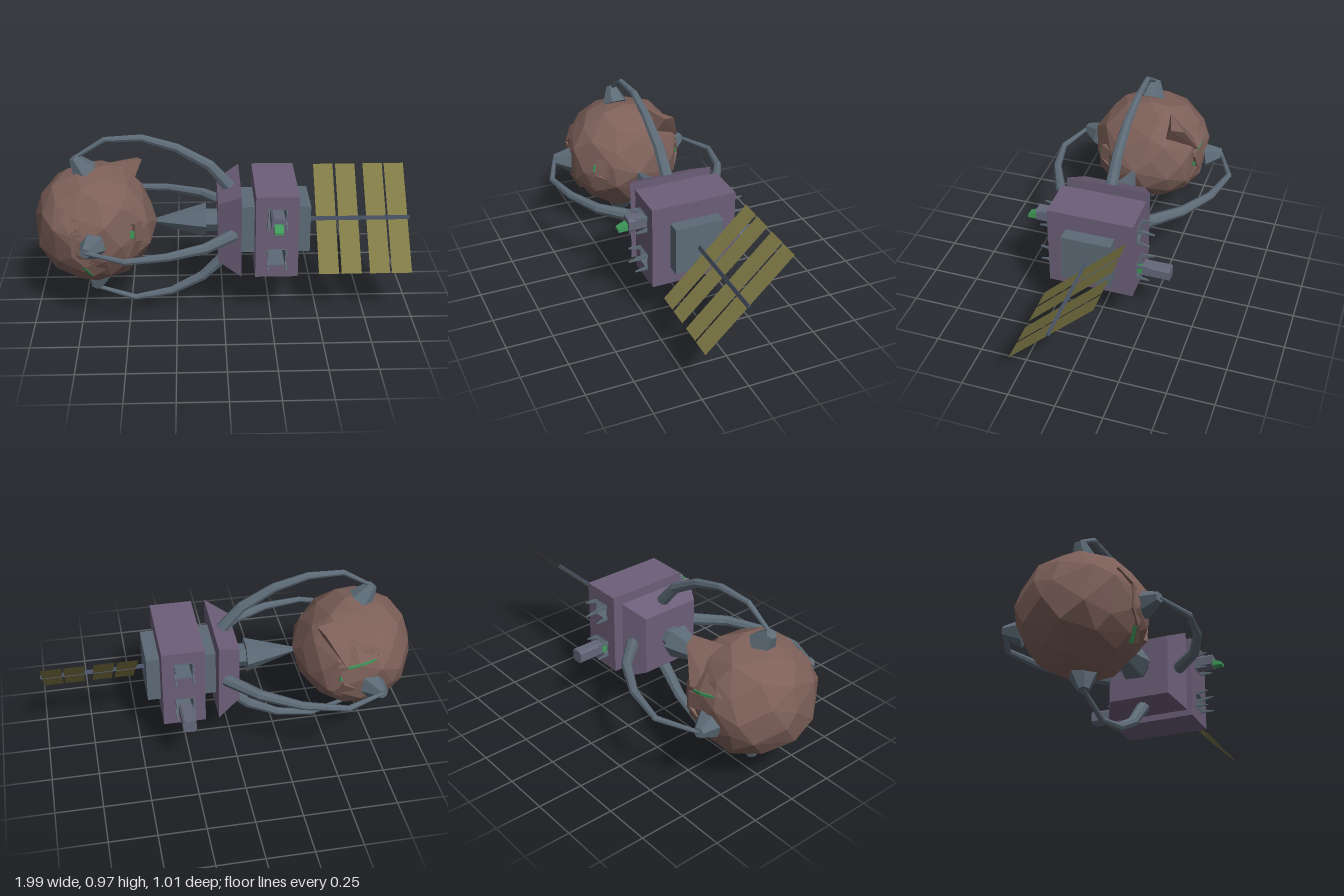
import * as THREE from 'three';
import { ConvexGeometry } from 'three/addons/geometries/ConvexGeometry.js';

const V = (x, y, z) => new THREE.Vector3(x, y, z);
const mat = (name, color, side = THREE.FrontSide) => {
  const m = new THREE.MeshStandardMaterial({ color, side, flatShading: true });
  m.name = name;
  return m;
};

export function createModel() {
  const model = new THREE.Group();
  const purple = mat('purple hull', 0x6c5e78);
  const slate = mat('slate metal', 0x5c6a76);
  const tubeGrey = mat('violet grey tube', 0x646779);
  const darkSlate = mat('dark slate boom', 0x465062);
  const brown = mat('brown rock', 0x7d6059);
  const green = mat('green ore', 0x3f9a5a, THREE.DoubleSide);
  const olive = mat('olive panel', 0x807a45, THREE.DoubleSide);
  const CY = 0.487, CZ = 0.02;

  const add = (name, geo, material, x = 0, y = 0, z = 0) => {
    const m = new THREE.Mesh(geo, material);
    m.name = name;
    m.position.set(x, y, z);
    model.add(m);
    return m;
  };
  // Prism or frustum running along x from x0 (radius r0) to x1 (radius r1)
  const alongX = (name, x0, x1, r0, r1, sides, material, turn = 0) =>
    add(name, new THREE.CylinderGeometry(r1, r0, x1 - x0, sides).rotateY(turn).rotateZ(-Math.PI / 2),
      material, (x0 + x1) / 2, CY, CZ);
  const square = (name, x0, x1, h0, h1, material) =>
    alongX(name, x0, x1, h0 * Math.SQRT2, h1 * Math.SQRT2, 4, material, Math.PI / 4);

  // Hull sections
  square('clawMount', -0.03, 0.09, 0.165, 0.226, purple);
  square('core', 0.09, 0.17, 0.13, 0.13, slate);
  square('rearBlock', 0.38, 0.455, 0.13, 0.13, slate);
  alongX('drillNeck', -0.1, -0.02, 0.06, 0.06, 6, slate);
  alongX('drillCone', -0.39, -0.09, 0.004, 0.092, 6, slate);

  // Main hull with two square tunnels from front to back
  const square2D = (path, x, y, hx, hy) =>
    path.moveTo(x - hx, y - hy).lineTo(x + hx, y - hy).lineTo(x + hx, y + hy).lineTo(x - hx, y + hy).closePath();
  const polygon = pts => new THREE.Shape(pts.map(p => new THREE.Vector2(...p)));
  const extrude = (shape, depth) => new THREE.ExtrudeGeometry(shape, { depth, bevelEnabled: false });
  const portX = 0.272, portY = [0.6, 0.374];
  const outline = square2D(new THREE.Shape(), 0.2735, CY, 0.1115, 0.227);
  for (const y of portY) {
    outline.holes.push(square2D(new THREE.Path(), portX, y, 0.047, 0.047));
    const liner = square2D(new THREE.Shape(), portX, y, 0.047, 0.047);
    liner.holes.push(square2D(new THREE.Path(), portX, y, 0.043, 0.043));
    add('portLiner', extrude(liner, 0.46), slate, 0, 0, CZ - 0.23);
  }
  add('hull', extrude(outline, 0.454), purple, 0, 0, CZ - 0.227);

  // Pointed guides at the corners of each tunnel mouth
  for (const y of portY) for (const sx of [-1, 1]) for (const sy of [-1, 1]) for (const sz of [-1, 1]) {
    const pts = [];
    for (const dx of [0.043, 0.05]) {
      const x = portX + sx * dx;
      pts.push(V(x, y + sy * 0.045, CZ + sz * 0.22), V(x, y + sy * 0.02, CZ + sz * 0.22),
        V(x, y + sy * 0.045, CZ + sz * 0.295), V(x, y + sy * 0.04, CZ + sz * 0.295));
    }
    add('portGuide', new ConvexGeometry(pts), slate);
  }

  // Sliding chamfered tubes with a green wedge at the forward end
  const h = 0.035, c = 0.024;
  const tube = polygon([[-c, -h], [c, -h], [h, -c], [h, c], [c, h], [-c, h], [-h, c], [-h, -c]]);
  const wedge = polygon([[0, -0.03], [0.05, -0.03], [0.05, -0.015], [0, 0.008]]);
  for (const [y, z] of [[portY[0], 0.34], [portY[1], -0.235]]) {
    add('sliderTube', extrude(tube, 0.145), tubeGrey, portX, y, z - 0.145);
    add('sliderWedge', extrude(wedge, 0.045).rotateY(-Math.PI / 2), green, portX + 0.0225, y, z);
  }

  // Solar array on its boom, tilted back 45 degrees
  alongX('boom', 0.45, 1.0, 0.013, 0.013, 3, darkSlate, Math.PI * 0.9);
  for (const x of [0.552, 0.672, 0.822, 0.938])
    add('solarPanel', new THREE.PlaneGeometry(0.106, 0.626).rotateX(-Math.PI / 4), olive, x, CY - 0.003, 0.012);

  // Tapered arms with straight links, each ending in a blunt claw on the rock
  const arms = [
    { path: [V(0.05, 0.66, CZ), V(-0.07, 0.8, CZ), V(-0.24, 0.9, CZ), V(-0.42, 0.955, CZ - 0.005), V(-0.61, 0.95, CZ), V(-0.77, 0.85, CZ)],
      foot: V(-0.718, 0.775, 0.02) },
    { path: [V(0.05, 0.31, CZ), V(-0.11, 0.15, CZ), V(-0.28, 0.06, CZ), V(-0.48, 0.022, CZ), V(-0.69, 0.095, CZ)],
      foot: V(-0.665, 0.18, 0.005) },
    { path: [V(0.05, 0.487, 0.21), V(-0.1, 0.487, 0.36), V(-0.29, 0.487, 0.448), V(-0.5, 0.482, 0.484), V(-0.7, 0.495, 0.405)],
      foot: V(-0.67, 0.49, 0.318) },
    { path: [V(0.05, 0.487, -0.17), V(-0.1, 0.487, -0.33), V(-0.3, 0.475, -0.44), V(-0.53, 0.462, -0.489), V(-0.74, 0.455, -0.395)],
      foot: V(-0.71, 0.445, -0.308) },
  ];
  for (const { path, foot } of arms) {
    const curve = new THREE.CatmullRomCurve3(path);
    curve.getPointAt = curve.getPoint;
    curve.getTangentAt = curve.getTangent;
    const rings = path.length - 1, sides = 8;
    const geo = new THREE.TubeGeometry(curve, rings, 0.034, sides);
    const p = geo.attributes.position, v = V(0, 0, 0);
    for (let i = 0; i < p.count; i++) {
      const ring = Math.floor(i / (sides + 1)), mid = path[ring];
      v.fromBufferAttribute(p, i).sub(mid).multiplyScalar(1 - 0.7 * ring / rings).add(mid);
      p.setXYZ(i, v.x, v.y, v.z);
    }
    add('arm', geo, slate);
    const tip = path[rings], dir = tip.clone().sub(foot);
    const claw = add('claw', new THREE.CylinderGeometry(0.028, 0.074, dir.length() + 0.01, 6), slate);
    claw.position.copy(tip).add(foot).multiplyScalar(0.5);
    claw.quaternion.setFromUnitVectors(V(0, 1, 0), dir.normalize());
  }

  // Faceted boulder
  let seed = 11;
  const rand = () => (seed = (seed * 16807) % 2147483647) / 2147483647;
  const rock = V(-0.675, 0.487, 0.005), corners = [];
  for (let i = 0; i < 70; i++) {
    const y = 1 - (2 * i + 1) / 70, r = Math.sqrt(1 - y * y), a = i * 2.39996 + rand() * 0.3;
    corners.push(V(r * Math.cos(a), y, r * Math.sin(a) * 1.03).multiplyScalar(0.308 + rand() * 0.022));
  }
  add('boulder', new ConvexGeometry(corners), brown, ...rock);

  // Broken plate standing out at the upper back of the boulder
  add('boulderSlab', new ConvexGeometry([V(-0.43, 0.76, -0.17), V(-0.6, 0.765, -0.12), V(-0.46, 0.745, -0.237),
    V(-0.56, 0.58, -0.3), V(-0.64, 0.6, -0.26), V(-0.5, 0.6, -0.1)]), brown);

  // Cracks: overlapping shale lips along each path, with ore under part of some links
  const cracks = [
    { ore: { 4: [0, 1, 0.017] }, path: [V(-0.5, 0.4, 0.77), V(-0.32, 0.2, 0.93), V(-0.32, -0.2, 0.93), V(-0.12, -0.38, 0.91), V(0, -0.6, 0.8)] },
    { ore: { 1: [0.4, 1, 0.012], 2: [0, 0.9, 0.012] }, path: [V(0.435, 0.22, -0.87), V(0.13, 0.32, -0.94), V(-0.19, 0.38, -0.9), V(-0.45, 0.35, -0.82)] },
    { ore: { 1: [0.4, 0.85, 0.012] }, path: [V(0.66, 0.25, 0.7), V(0.67, -0.02, 0.74), V(0.55, -0.3, 0.78)] },
    { ore: { 1: [0.4, 0.75, 0.011] }, path: [V(0.42, 0.16, -0.89), V(0.36, -0.08, -0.93), V(0.5, -0.35, -0.79)] },
  ];
  for (const { ore, path } of cracks) for (let i = 1; i < path.length; i++) {
    const a = path[i - 1].clone().normalize(), b = path[i].clone().normalize();
    const across = b.clone().sub(a).cross(a).normalize();
    const pts = [];
    for (const e of [a, b]) {
      const back = e.clone().addScaledVector(across, -0.3).normalize();
      pts.push(e.clone().multiplyScalar(0.329), e.clone().multiplyScalar(0.29),
        back.clone().multiplyScalar(0.312), back.multiplyScalar(0.28));
    }
    add('shaleLip', new ConvexGeometry(pts), brown, ...rock);
    if (ore[i]) {
      const [from, to, size] = ore[i];
      const seam = [from, to].map(t => a.clone().lerp(b, t).addScaledVector(across, 0.03).normalize().multiplyScalar(0.312));
      add('oreSeam', new THREE.TubeGeometry(new THREE.LineCurve3(...seam), 1, size, 5), green, ...rock);
    }
  }
  return model;
}
